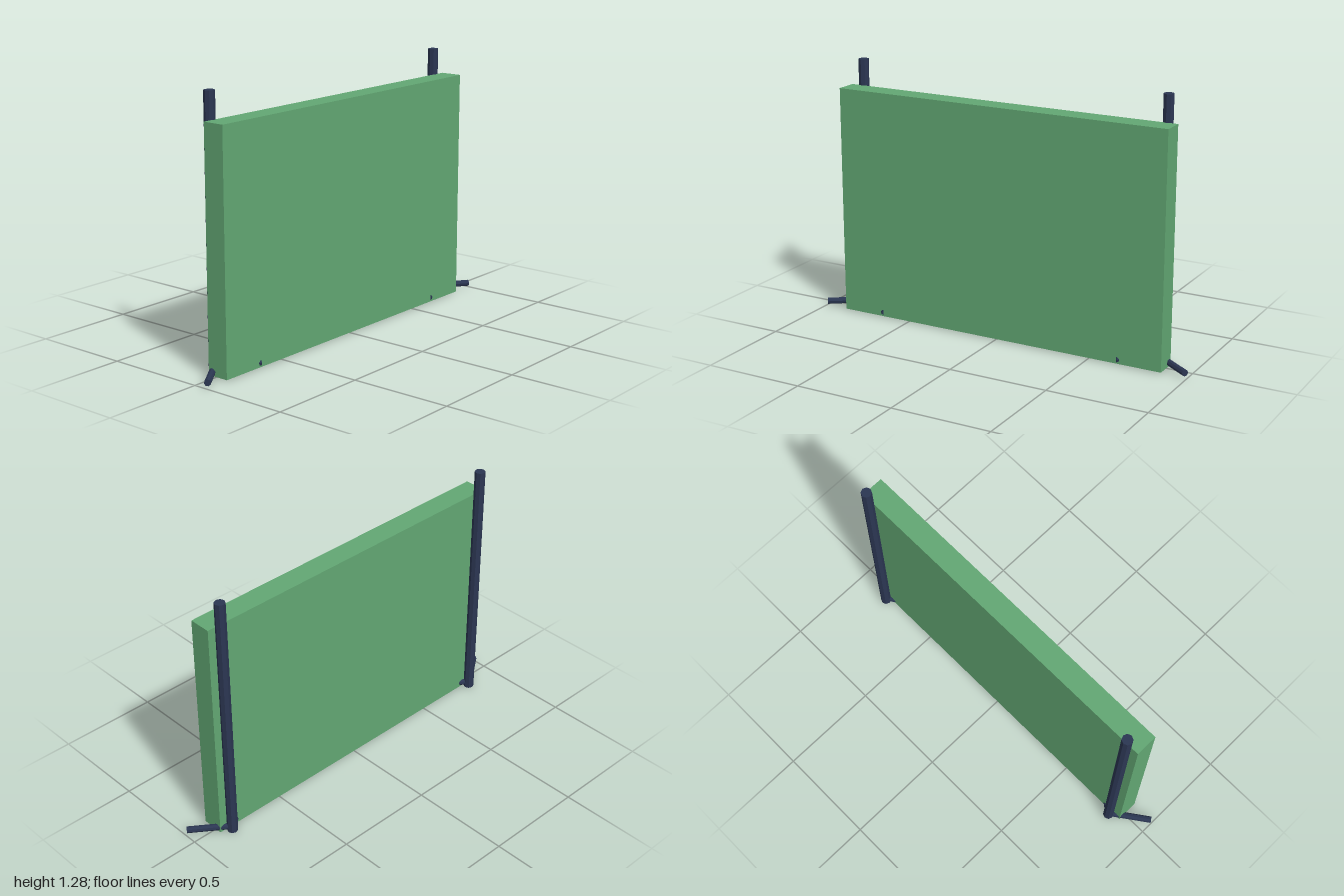
import * as THREE from 'three';

export function createModel() {
  const model = new THREE.Group();
  const green = new THREE.MeshStandardMaterial({ color: 0x62a773 });
  green.name = 'panel green';
  const navy = new THREE.MeshStandardMaterial({ color: 0x2b3652, flatShading: true });
  navy.name = 'frame navy';

  const add = (name, geometry, material, x, y, z, parent = model) => {
    const mesh = new THREE.Mesh(geometry, material);
    mesh.name = name;
    mesh.position.set(x, y, z);
    parent.add(mesh);
    return mesh;
  };

  // Upright board
  add('panel', new THREE.BoxGeometry(1.746, 1.15, 0.11), green, 0, 0.58, 0.018);

  // Back posts, each with two splayed feet running forward
  const postX = 0.816, postZ = -0.057, postHeight = 1.285;
  const footRun = 0.174, footReach = 0.125, footLength = Math.hypot(footRun, footReach);
  for (const side of [-1, 1]) {
    const stand = new THREE.Group();
    stand.name = side > 0 ? 'leftStand' : 'rightStand';
    stand.position.set(side * postX, 0, postZ);
    model.add(stand);

    add('post', new THREE.CylinderGeometry(0.026, 0.026, postHeight, 8), navy, 0, postHeight / 2, 0, stand);
    for (const way of [-1, 1]) {
      const foot = add(way === side ? 'outerFoot' : 'innerFoot',
        new THREE.CylinderGeometry(0.016, 0.016, footLength, 8), navy,
        way * footRun / 2, 0.025, footReach / 2, stand);
      foot.quaternion.setFromUnitVectors(
        new THREE.Vector3(0, 1, 0),
        new THREE.Vector3(way * footRun, 0, footReach).normalize());
    }
  }
  return model;
}
